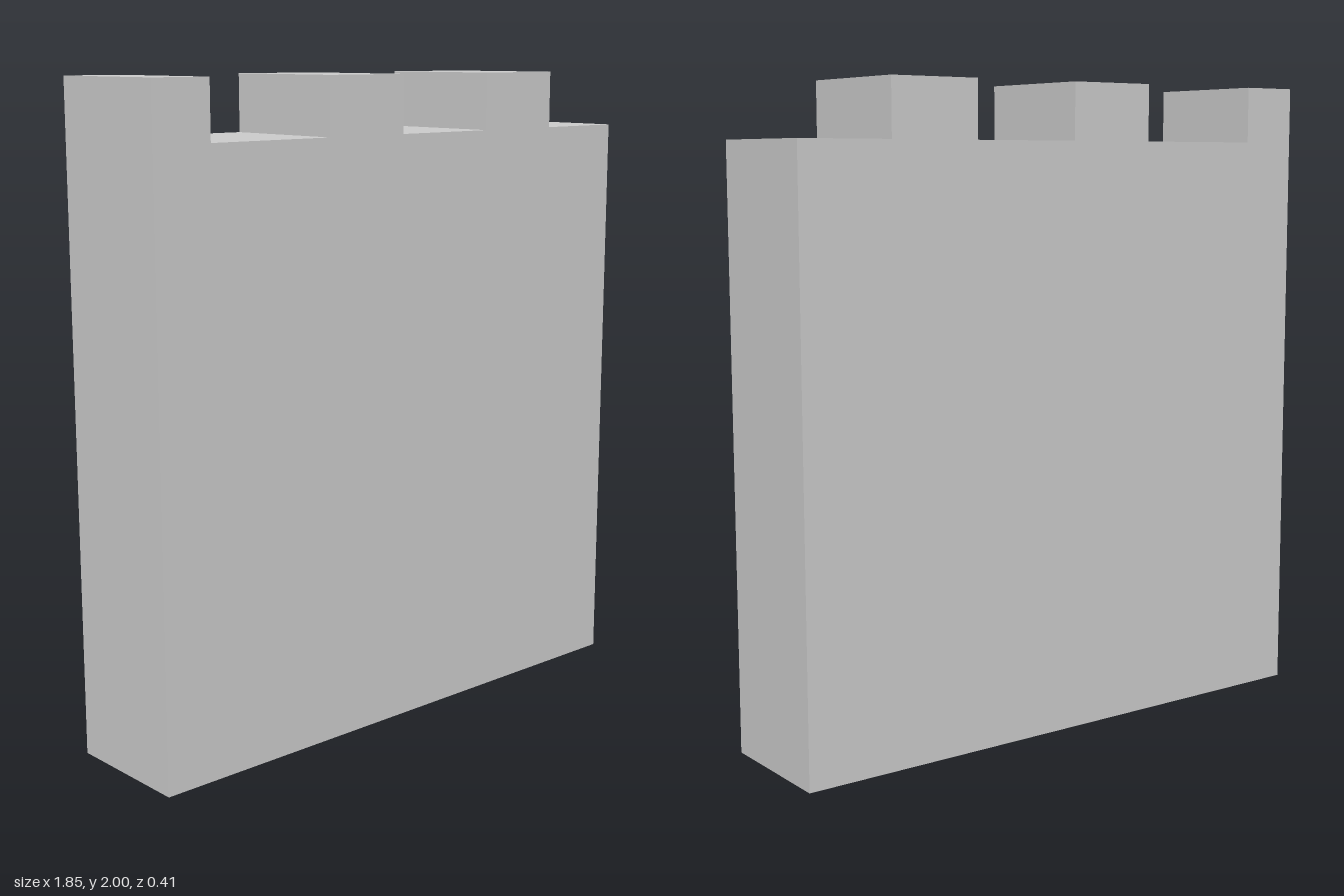
import * as THREE from 'three';

const HALF_WIDTH = 0.925;
const DEPTH = 0.415;
const WALL_TOP = 1.825;
const MERLON_TOP = 2;

// left and right edge of each raised merlon
const MERLONS = [[-HALF_WIDTH, -0.735], [-0.31, -0.02], [0.335, 0.627]];

export function createModel() {
  const group = new THREE.Group();
  group.name = 'battlementWall';

  // wall outline, walked counter-clockwise with the crenellated top
  const outline = new THREE.Shape();
  outline.moveTo(-HALF_WIDTH, 0);
  outline.lineTo(HALF_WIDTH, 0);
  outline.lineTo(HALF_WIDTH, WALL_TOP);
  for (const [left, right] of [...MERLONS].reverse()) {
    outline.lineTo(right, WALL_TOP);
    outline.lineTo(right, MERLON_TOP);
    outline.lineTo(left, MERLON_TOP);
    if (left > -HALF_WIDTH) outline.lineTo(left, WALL_TOP);
  }
  outline.closePath();

  const geometry = new THREE.ExtrudeGeometry(outline, { depth: DEPTH, bevelEnabled: false });
  geometry.translate(0, 0, -DEPTH / 2);

  const wall = new THREE.Mesh(
    geometry,
    new THREE.MeshStandardMaterial({ color: 0xcccccc, flatShading: true })
  );
  wall.name = 'crenellatedWall';
  group.add(wall);
  return group;
}
